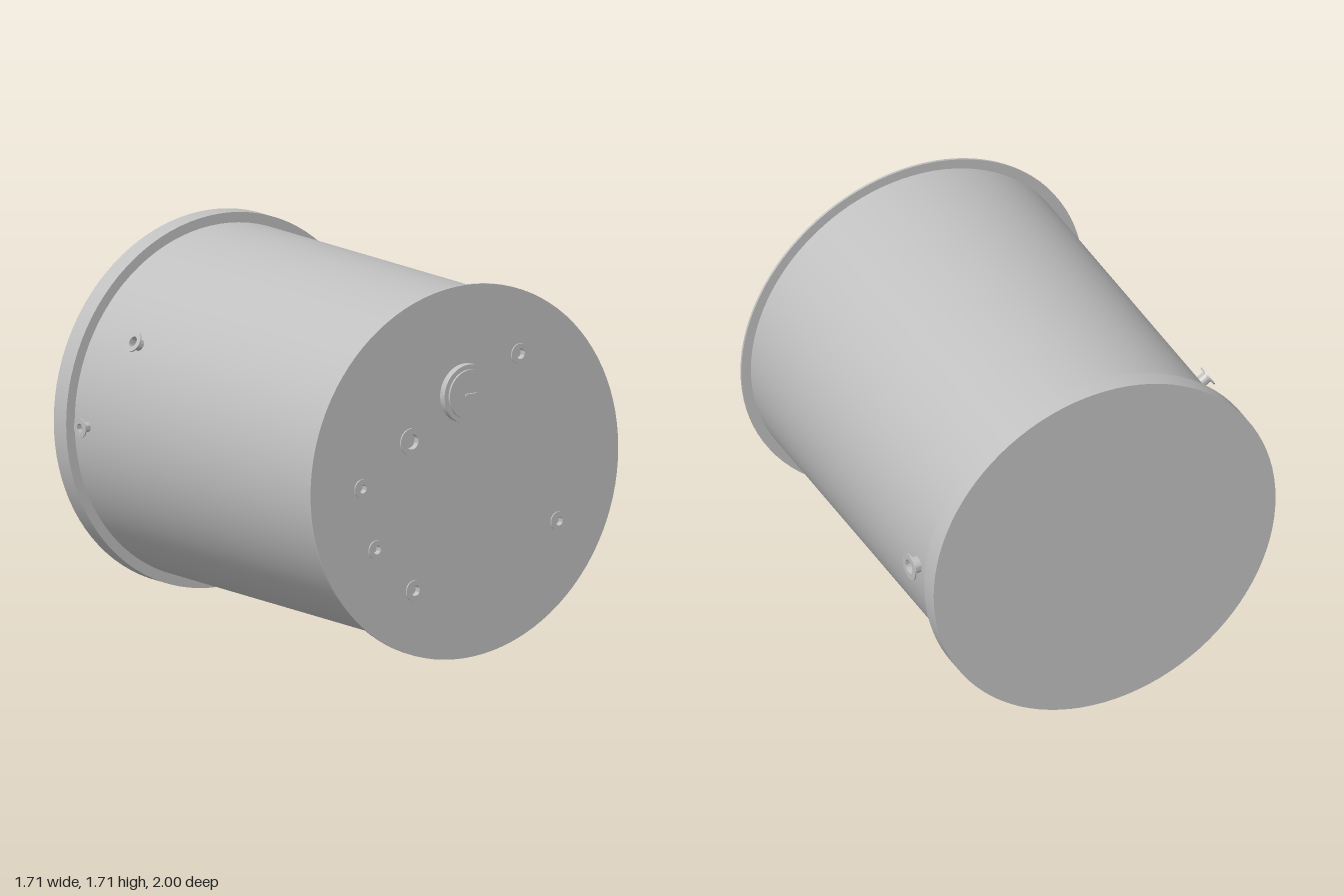
import * as THREE from 'three';
import { toCreasedNormals } from 'three/addons/utils/BufferGeometryUtils.js';

const CY = 0.858; // height of the vessel axis
const metal = new THREE.MeshStandardMaterial({ color: 0xc0c0c0 });
metal.name = 'greyMetal';

export function createModel() {
  const model = new THREE.Group();
  model.name = 'vessel';

  const add = (name, geometry, x, y, z) => {
    const mesh = new THREE.Mesh(geometry, metal);
    mesh.name = name;
    mesh.position.set(x, y, z);
    model.add(mesh);
    return mesh;
  };

  // Solid disc or drum lying along z
  const drum = (name, r, z0, z1, x = 0, y = CY, open = false) =>
    add(name, new THREE.CylinderGeometry(r, r, z1 - z0, 96, 1, open).rotateX(Math.PI / 2), x, y, (z0 + z1) / 2);

  drum('shell', 0.81, -0.906, 0.934, 0, CY, true);
  drum('backFlange', 0.857, -1, -0.906);
  drum('frontPlate', 0.857, 0.933, 0.944);

  // Short hollow pipe with a thin end flange, pointing along dir
  const nozzle = (name, x, y, z, dir, bore, flange, length) => {
    const pipe = bore * 1.12;
    const profile = [
      [pipe, 0], [pipe, length - 0.007], [flange, length - 0.007],
      [flange, length], [bore, length], [bore, 0],
    ].map(([r, h]) => new THREE.Vector2(r, h));
    const geometry = toCreasedNormals(new THREE.LatheGeometry(profile, 32), 0.6);
    const mesh = add(name, geometry, x, y, z);
    mesh.quaternion.setFromUnitVectors(new THREE.Vector3(0, 1, 0), dir);
  };

  // Front nozzles: x, y, bore radius, flange radius
  const front = new THREE.Vector3(0, 0, 1);
  [
    [0.29, 1.367, 0.024, 0.048],
    [-0.313, 1.041, 0.035, 0.063],
    [-0.587, 0.86, 0.02, 0.044],
    [-0.508, 0.57, 0.02, 0.044],
    [-0.295, 0.355, 0.024, 0.049],
    [0.505, 0.57, 0.02, 0.044],
  ].forEach(([x, y, bore, flange], i) =>
    nozzle(`frontNozzle${i + 1}`, x, y, 0.943, front, bore, flange, 0.032));

  // Side nozzles: angle around the axis, z, bore radius, flange radius
  [
    ['leftNozzle', 0, -0.745, 0.034, 0.063],
    ['rightNozzle', 180, -0.808, 0.02, 0.044],
    ['upperRightNozzle', 150, -0.56, 0.024, 0.048],
  ].forEach(([name, degrees, z, bore, flange]) => {
    const a = THREE.MathUtils.degToRad(degrees);
    const dir = new THREE.Vector3(Math.cos(a), Math.sin(a), 0);
    nozzle(name, dir.x * 0.805, CY + dir.y * 0.805, z, dir, bore, flange, 0.049);
  });

  // Round access hatch with lid and grip
  drum('hatchRim', 0.135, 0.943, 0.978, 0, 1.221);
  drum('hatchLid', 0.113, 0.977, 0.988, 0, 1.221);
  add('hatchGrip', new THREE.BoxGeometry(0.06, 0.01, 0.014), 0, 1.221, 0.993);

  return model;
}
